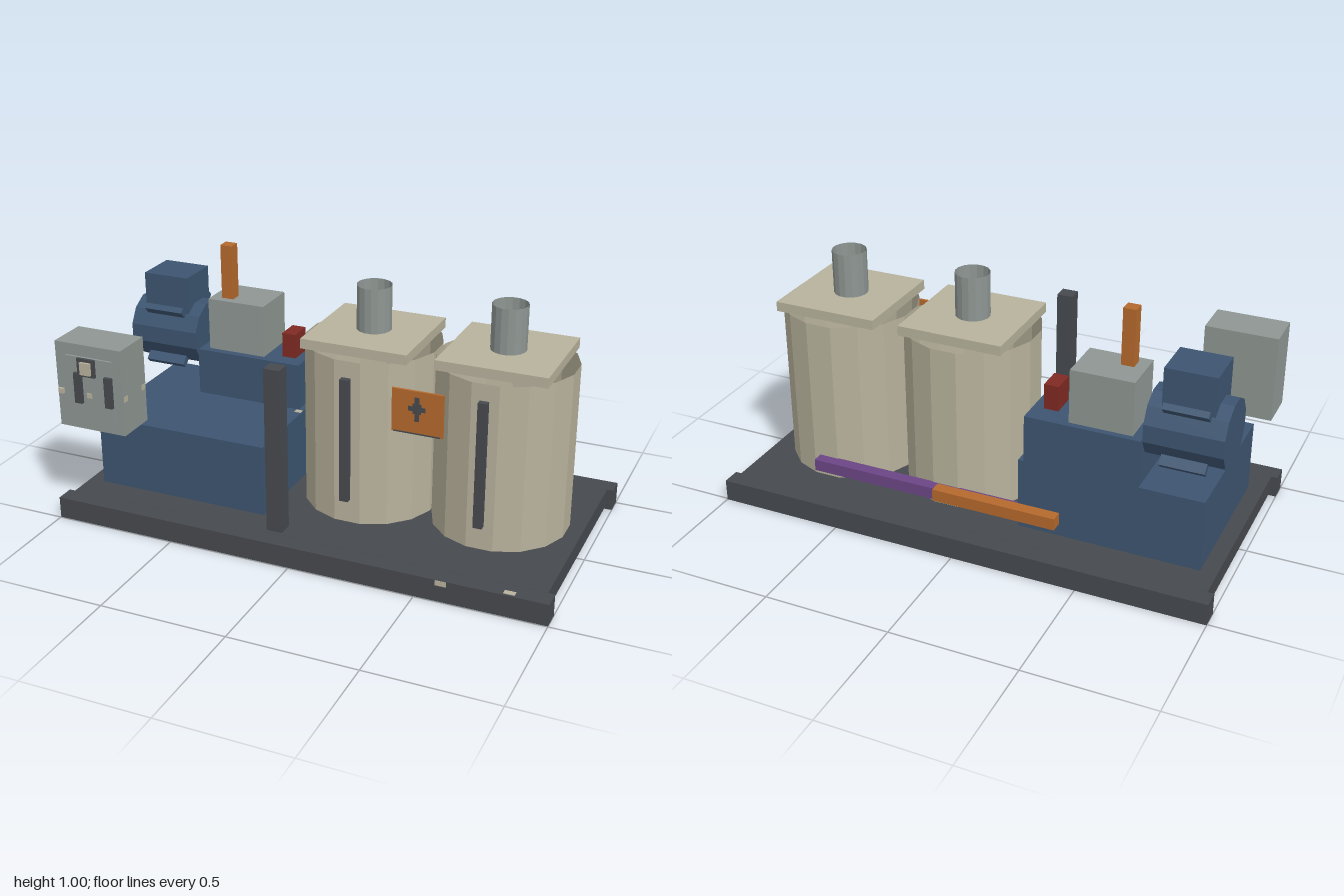
import * as THREE from 'three';

const mat = (name, color, extra = {}) => {
  const m = new THREE.MeshStandardMaterial({ color, ...extra });
  m.name = name;
  return m;
};

export function createModel() {
  const root = new THREE.Group();
  root.name = 'dosingSkid';
  const dark = mat('darkSteel', 0x46494e);
  const blue = mat('bluePaint', 0x3c5470);
  const beige = mat('beigeTank', 0xb8b29c, { side: THREE.DoubleSide, flatShading: true });
  const gray = mat('grayMetal', 0x8e9692, { side: THREE.DoubleSide, flatShading: true });
  const orange = mat('orangePaint', 0xb5692c);
  const red = mat('redPaint', 0x7f2a22);
  const purple = mat('purplePipe', 0x6b4685);
  const blueFlat = blue;
  blueFlat.flatShading = true;

  // box given by its limits on each axis
  const box = (name, m, x0, x1, y0, y1, z0, z1, parent = root) => {
    const mesh = new THREE.Mesh(new THREE.BoxGeometry(x1 - x0, y1 - y0, z1 - z0), m);
    mesh.position.set((x0 + x1) / 2, (y0 + y1) / 2, (z0 + z1) / 2);
    mesh.name = name;
    parent.add(mesh);
    return mesh;
  };
  const group = (name) => {
    const g = new THREE.Group();
    g.name = name;
    root.add(g);
    return g;
  };

  // base frame: two rails, deck plate and cross beams
  const frame = group('baseFrame');
  box('frontRail', dark, -1, 1, 0, 0.087, 0.423, 0.497, frame);
  box('backRail', dark, -1, 1, 0, 0.087, -0.505, -0.431, frame);
  box('deckPlate', dark, -0.975, 0.975, 0.077, 0.0875, -0.431, 0.423, frame);
  for (let i = -2; i <= 2; i++) {
    const x = i * 0.475;
    box('crossBeam', dark, x - 0.025, x + 0.025, 0.015, 0.077, -0.431, 0.423, frame);
  }

  // pump plinth and casing
  box('plinth', blue, -0.912, -0.192, 0.087, 0.375, -0.318, 0.307);
  box('pumpBlock', blue, -0.663, -0.215, 0.375, 0.565, -0.32, -0.07);
  box('gearHousing', gray, -0.625, -0.38, 0.565, 0.778, -0.295, -0.1);
  box('dischargePost', orange, -0.58, -0.53, 0.778, 1.0, -0.182, -0.133);
  box('reliefValve', red, -0.315, -0.257, 0.565, 0.665, -0.234, -0.136);

  // electric motor along x with ribs and terminal box
  const motor = group('motor');
  motor.position.set(-0.817, 0.6, -0.19);
  const body = new THREE.Mesh(new THREE.CylinderGeometry(0.133, 0.133, 0.296, 12, 1, false, Math.PI / 12), blueFlat);
  body.rotation.z = Math.PI / 2;
  body.name = 'motorBody';
  motor.add(body);
  for (let i = 0; i < 4; i++) {
    const a = Math.PI / 4 + (i * Math.PI) / 2;
    const rib = box('motorRib', blue, -0.085, 0.085, -0.0125, 0.0125, -0.02, 0.02, motor);
    rib.position.set(0, Math.sin(a) * 0.15, Math.cos(a) * 0.15);
    rib.rotation.x = -a;
  }
  box('terminalBox', blue, -0.098, 0.097, 0.09, 0.25, -0.088, 0.09, motor);

  // control cabinet with door plate, handles and switch
  const cabinet = group('controlCabinet');
  box('cabinetBody', gray, -0.977, -0.69, 0.402, 0.75, 0.308, 0.473, cabinet);
  box('doorPlate', gray, -0.928, -0.725, 0.45, 0.703, 0.473, 0.482, cabinet);
  for (const x of [-0.89, -0.757]) box('doorHandle', dark, x, x + 0.032, 0.517, 0.64, 0.482, 0.496, cabinet);
  box('switchPlate', dark, -0.872, -0.797, 0.63, 0.702, 0.482, 0.493, cabinet);
  box('switchKnob', beige, -0.855, -0.81, 0.64, 0.69, 0.493, 0.503, cabinet);
  for (const x of [-0.97, -0.842]) box('doorStud', beige, x, x + 0.022, 0.54, 0.56, 0.474, 0.485, cabinet);
  for (const z of [0.312, 0.44]) box('sideTag', beige, -0.69, -0.688, 0.538, 0.56, z, z + 0.025, cabinet);

  // support post
  box('supportPost', dark, -0.13, -0.066, 0.087, 0.75, 0.347, 0.408);

  // two tanks: open shell, square lid, open vent pipe, level gauge
  const tube = (name, m, r, y0, y1, parent) => {
    const g = new THREE.CylinderGeometry(r, r, y1 - y0, 16, 1, true, Math.PI / 16);
    const mesh = new THREE.Mesh(g, m);
    mesh.position.y = (y0 + y1) / 2;
    mesh.name = name;
    parent.add(mesh);
  };
  for (const x of [0.122, 0.653]) {
    const tank = group('tank');
    tank.position.set(x, 0, -0.036);
    tube('tankShell', beige, 0.267, 0.087, 0.75, tank);
    box('tankLid', beige, -0.212, 0.212, 0.75, 0.789, -0.212, 0.212, tank);
    tube('ventPipe', gray, 0.068, 0.789, 0.965, tank);
    box('levelGauge', dark, -0.017, 0.018, 0.19, 0.689, 0.271, 0.296, tank);
  }

  // warning panel with a dark symbol
  const panel = group('warningPanel');
  box('panelPlate', orange, 0.3, 0.5, 0.508, 0.678, 0.218, 0.228, panel);
  box('symbolStem', dark, 0.39, 0.407, 0.56, 0.655, 0.228, 0.231, panel);
  box('symbolBar', dark, 0.365, 0.432, 0.6, 0.618, 0.228, 0.2305, panel);
  box('symbolCore', dark, 0.383, 0.415, 0.59, 0.63, 0.228, 0.2315, panel);
  box('panelTrim', dark, 0.31, 0.49, 0.508, 0.513, 0.228, 0.23, panel);

  // pipes along the back
  box('orangePipe', orange, -0.375, 0.125, 0.165, 0.213, -0.404, -0.356);
  box('purplePipe', purple, -0.315, 0.68, 0.127, 0.175, -0.342, -0.294);

  // small tags on the frame
  box('railTag', beige, 0.58, 0.622, 0.066, 0.086, 0.497, 0.499);
  box('railTopTag', beige, 0.83, 0.872, 0.087, 0.089, 0.465, 0.488);
  box('plinthTag', beige, -0.222, -0.194, 0.375, 0.377, -0.064, -0.042);

  return root;
}
